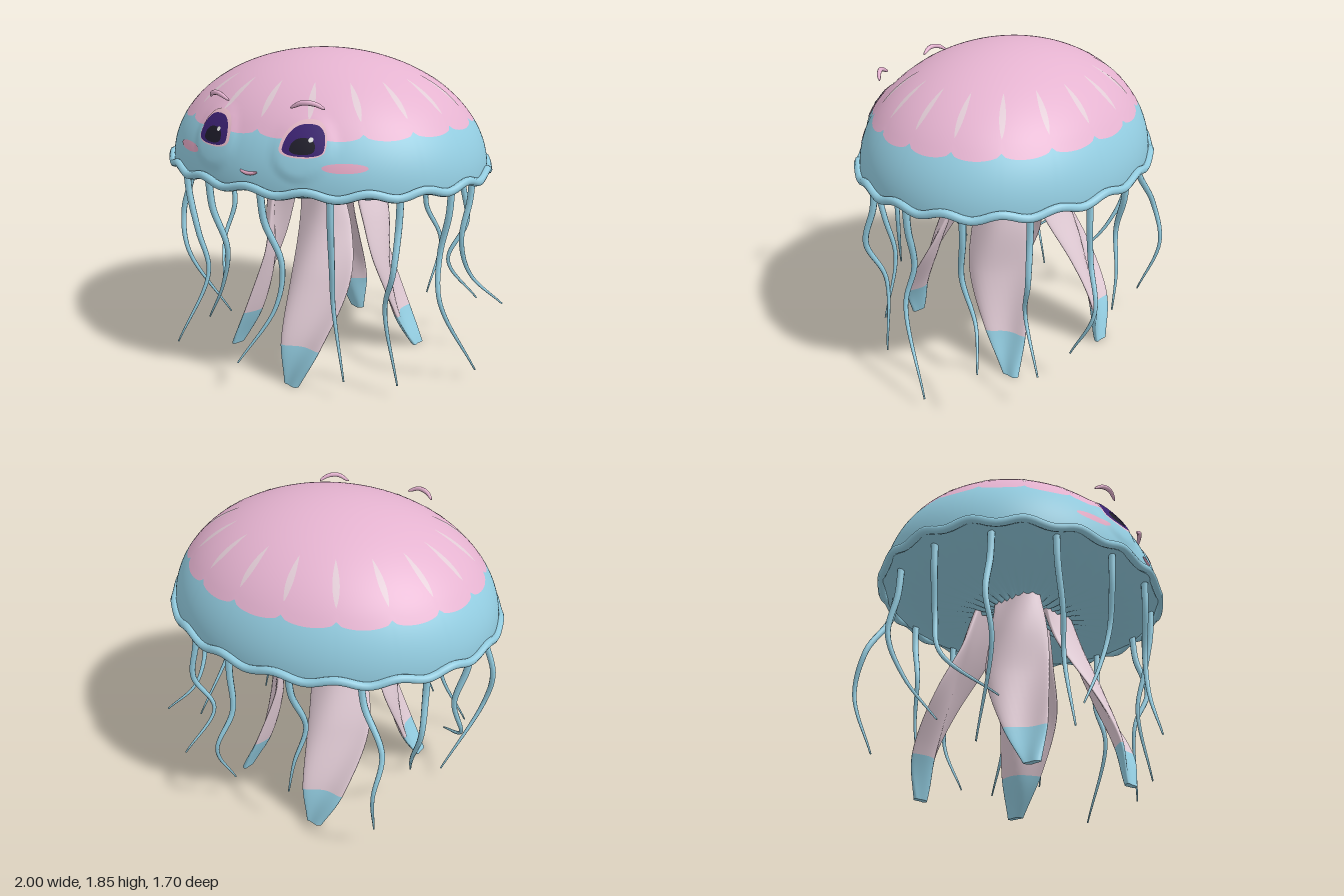
import * as THREE from 'three';
import { mergeVertices } from 'three/addons/utils/BufferGeometryUtils.js';

const { sin, cos, PI, abs, sqrt, hypot, pow, min, exp, sign } = Math;
const lerp = THREE.MathUtils.lerp;
const V = (x, y, z) => new THREE.Vector3(x, y, z);

const paint = (name, color) => {
  const m = new THREE.MeshStandardMaterial({ color, side: THREE.DoubleSide });
  m.name = name;
  return m;
};

// Smooth surface from a rule f(u, v), u and v in 0..1
function patch(f, nu, nv) {
  const pos = [], idx = [];
  for (let i = 0; i <= nu; i++) for (let j = 0; j <= nv; j++) pos.push(...f(i / nu, j / nv).toArray());
  for (let i = 0; i < nu; i++) for (let j = 0; j < nv; j++) {
    const a = i * (nv + 1) + j, b = a + nv + 1;
    idx.push(a, b, a + 1, b, b + 1, a + 1);
  }
  const g = new THREE.BufferGeometry();
  g.setAttribute('position', new THREE.Float32BufferAttribute(pos, 3));
  g.setIndex(idx);
  const merged = mergeVertices(g, 1e-5);
  merged.computeVertexNormals();
  return merged;
}

// Tube whose radius follows a rule along its length
function taperTube(points, radiusAt, n = 32) {
  const curve = new THREE.CatmullRomCurve3(points);
  const g = new THREE.TubeGeometry(curve, n, 1, 8, false);
  const p = g.attributes.position, v = V(0, 0, 0);
  for (let i = 0; i < p.count; i++) {
    const t = Math.floor(i / 9) / n, c = curve.getPointAt(t);
    v.fromBufferAttribute(p, i).sub(c).multiplyScalar(radiusAt(t)).add(c);
    p.setXYZ(i, v.x, v.y, v.z);
  }
  return g;
}

// Bell: half ellipsoid with soft swellings around the eyes
const RX = 0.958, RZ = 0.808, RY = 0.65, Y0 = 1.2, EX = 0.28, EY = 1.43;
function dome(a, r, off = 0) {
  const p = V(RX * r * sin(a), RY * sqrt(Math.max(0, 1 - r * r)), RZ * r * cos(a));
  const n = V(p.x / RX ** 2, p.y / RY ** 2, p.z / RZ ** 2).normalize();
  if (p.z > 0) {
    const d = hypot(abs(p.x) - EX, p.y + Y0 - EY);
    off += 0.01 * THREE.MathUtils.smoothstep(0.18 - d, 0, 0.06);
  }
  p.y += Y0;
  return p.addScaledVector(n, off);
}
const ringAt = y => sqrt(1 - ((y - Y0) / RY) ** 2);
const face = (x, y, off) => dome(Math.asin(x / (RX * ringAt(y))), ringAt(y), off);
const edge = a => ringAt(1.508 - 0.034 * pow(abs(sin(9 * a)), 0.45));

// Thin painted spot on the front of the bell: flat < 1 flattens its lower half,
// box < 1 squares its sides
const spot = (x, y, w, h, off, flat = 1, box = 1) => patch((u, v) => {
  const t = u * 2 * PI, s = 1 - v, c = cos(t), k = sin(t);
  const up = k < 0 ? -flat * pow(-k, box) : k;
  return face(x + s * w * sign(c) * pow(abs(c), box), y + s * h * up, off);
}, 48, 8);

export function createModel() {
  const model = new THREE.Group();
  const blue = paint('blue', 0x93cde1), pink = paint('pink', 0xe5b3d0);
  const pale = paint('pale pink', 0xe1cbd5), rose = paint('rose', 0xe4a8c4);
  const lid = paint('eyelid pink', 0xe8bccb), purple = paint('purple', 0x3a2070);
  const black = paint('pupil black', 0x1c1a28), white = paint('white', 0xffffff);
  const add = (parent, name, geo, mat) => {
    const m = new THREE.Mesh(geo, mat);
    m.name = name;
    parent.add(m);
  };

  const bell = new THREE.Group();
  bell.name = 'bell';
  bell.position.set(-0.012, 0, -0.012);
  model.add(bell);
  add(bell, 'bellCap', patch((u, v) => dome(u * 2 * PI, edge(u * 2 * PI) * (1 - v)), 216, 28), pink);
  add(bell, 'bellSkirt', patch((u, v) => {
    const a = u * 2 * PI;
    return dome(a, sin(lerp(PI / 2, Math.asin(edge(a)), v)));
  }, 216, 20), blue);

  // Pleated underside with a toothed ring around the arms
  add(bell, 'underside', patch((u, r) => {
    const a = u * 2 * PI, pleat = abs(sin(18 * a));
    const y = 1.2 - 0.09 * sin(min(1, (1 - r) / 0.45) * PI / 2) + 0.05 * exp(-((r / 0.16) ** 2));
    const depth = 0.04 * r * (1 - r) + 0.018 * exp(-(((r - 0.27) / 0.08) ** 2));
    return V(RX * r * sin(a), y - depth * pleat, RZ * r * cos(a));
  }, 216, 24), blue);

  // Wavy rim
  const rim = [];
  for (let i = 0; i < 108; i++) {
    const a = i / 108 * 2 * PI;
    rim.push(V(0.964 * sin(a), 1.206 + 0.016 * cos(18 * a), 0.816 * cos(a)));
  }
  add(bell, 'rim', new THREE.TubeGeometry(new THREE.CatmullRomCurve3(rim, true), 216, 0.024, 8, true), blue);

  // Radial stripes
  for (let k = 0; k < 18; k++) {
    add(bell, 'stripe', patch((u, v) => {
      const w = 0.029 * pow(sin(PI * v), 0.8) * (1.15 - 0.4 * v);
      return dome(k * PI / 9 + (u - 0.5) * 2 * w, lerp(0.83, 0.58, v), 0.002);
    }, 4, 14), pale);
  }

  // Face
  for (const s of [-1, 1]) {
    const x = s * EX + 0.003;
    add(bell, 'eyelid', spot(x - s * 0.004, 1.43, 0.119, 0.14, 0.003, 0.3, 0.85), lid);
    add(bell, 'iris', spot(x + s * 0.002, 1.432, 0.106, 0.114, 0.0055, 0.32, 0.78), purple);
    add(bell, 'pupil', spot(x, 1.432, 0.064, 0.05, 0.008, 0.55, 0.8), black);
    add(bell, 'eyeGlint', spot(x + 0.034, 1.474, 0.012, 0.012, 0.0105), white);
    add(bell, 'cheek', spot(s * 0.495 + 0.005, 1.348, 0.105, 0.025, 0.0025), rose);
    const brow = [[0.365, 1.635, 0.63], [0.325, 1.662, 0.66], [0.265, 1.668, 0.685], [0.195, 1.637, 0.69]];
    add(bell, 'eyebrow', taperTube(brow.map(([bx, y, z]) => V(s * bx, y, z)),
      t => 0.003 + 0.011 * sqrt(sin(PI * t)), 20), pink);
  }
  const lips = [-0.055, -0.03, 0, 0.03, 0.055].map(x => face(x, 1.288 + 4 * x * x, 0.002));
  add(bell, 'mouth', taperTube(lips, t => 0.002 + 0.008 * sqrt(sin(PI * t)), 16), rose);

  // Four broad folded arms with dipped ends; opposite arms are half a turn apart
  const paths = [
    { out: V(0.05, 0, 1), pts: [[0.07, 1.13, 0.19], [0.13, 0.88, 0.265], [0.185, 0.58, 0.395], [0.16, 0.23, 0.55], [0.12, 0, 0.597]] },
    { out: V(1, 0, -0.15), pts: [[0.23, 1.13, -0.07], [0.29, 0.88, -0.1], [0.33, 0.58, -0.12], [0.4, 0.23, -0.21], [0.488, 0, -0.285]] },
  ];
  const widths = new THREE.CatmullRomCurve3([0.14, 0.17, 0.18, 0.125, 0.05].map((w, i) => V(w, -i, 0)));
  for (const { out, pts } of paths) for (const turn of [0, PI]) {
    const arm = new THREE.Group();
    arm.name = 'arm';
    arm.position.copy(bell.position);
    arm.rotation.y = turn;
    model.add(arm);
    const curve = new THREE.CatmullRomCurve3(pts.map(p => V(...p)));
    const R = out.clone().normalize(), L = V(0, 1, 0).cross(R);
    const skin = (t, s, k = 1) => {
      const w = widths.getPoint(s).x, c = cos(t), fold = w * 0.2 * sin(2.6 * c + 6 * s);
      return curve.getPoint(s).addScaledVector(L, k * w * c)
        .addScaledVector(R, k * (lerp(0.036, 0.022, s) * sin(t) + fold));
    };
    add(arm, 'armUpper', patch((u, v) => skin(u * 2 * PI, v * 0.75), 32, 30), pale);
    add(arm, 'armTip', patch((u, v) => skin(u * 2 * PI, 0.75 + v * 0.25), 32, 10), blue);
    add(arm, 'armEnd', patch((u, v) => skin(u * 2 * PI, 1, 1 - v), 32, 1), blue);
  }

  // Fourteen trailing tentacles: [upper x, z], [lower x, z], [tip x, y, z]
  const trails = [
    [[0.13, 0.7], [0.1, 0.72], [-0.08, 0.2, 0.84]],
    [[0.39, 0.61], [0.37, 0.56], [0.46, 0.12, 0.6]],
    [[0.71, 0.52], [0.63, 0.45], [0.7, 0.08, 0.42]],
    [[0.8, 0.13], [0.83, 0.18], [0.98, 0.06, -0.02]],
    [[0.8, -0.17], [0.83, -0.27], [0.995, 0.35, -0.37]],
    [[0.69, -0.51], [0.6, -0.45], [0.74, 0.25, -0.6]],
    [[0.32, -0.71], [0.4, -0.78], [0.38, 0.2, -0.63]],
    [[-0.12, -0.68], [-0.06, -0.72], [-0.02, 0.3, -0.72]],
    [[-0.59, -0.74], [-0.57, -0.81], [-0.54, 0.17, -0.69]],
    [[-0.73, -0.5], [-0.66, -0.42], [-0.6, 0.28, -0.24]],
    [[-0.81, -0.15], [-0.85, -0.08], [-0.68, 0.32, 0.17]],
    [[-0.94, 0.22], [-0.9, 0.24], [-0.71, 0.08, 0.06]],
    [[-0.6, 0.5], [-0.55, 0.48], [-0.71, 0.08, 0.6]],
    [[-0.28, 0.64], [-0.35, 0.6], [-0.49, 0.28, 0.56]],
  ];
  trails.forEach(([up, low, tip], k) => {
    const a = 0.05 + k * PI / 7;
    const root = V(0.88 * sin(a) - 0.01, 1.185, 0.755 * cos(a));
    const pts = [root, V(lerp(root.x, up[0], 0.18), 1.02, lerp(root.z, up[1], 0.18)),
      V(up[0], 0.78, up[1]), V(low[0], 0.53, low[1]), V(...tip)];
    add(model, 'tentacle', taperTube(pts, t => 0.021 - 0.016 * pow(t, 1.4)), blue);
  });

  return model;
}
